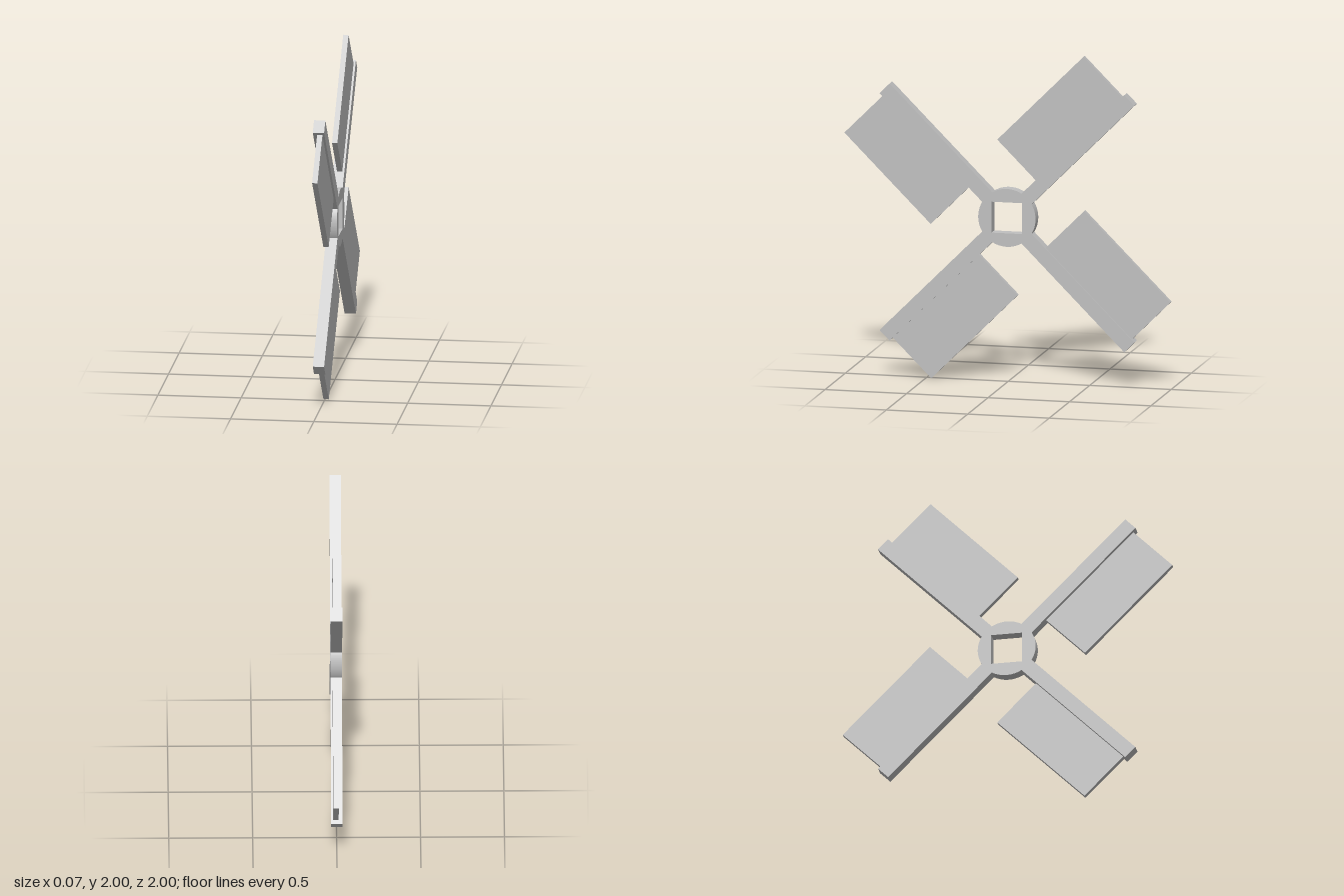
import * as THREE from 'three';

const THICK = 0.068;       // depth of hub and arms along x
const HUB_R = 0.176;
const ARM_W = 0.087;
const ARM_START = 0.168, ARM_END = 1.062;
const BLADE_START = 0.289, BLADE_END = 1.038, BLADE_EDGE = 0.377;

export function createModel() {
  const model = new THREE.Group();
  model.name = 'windmillSails';
  const grey = new THREE.MeshStandardMaterial({ color: 0xc0c0c0 });
  grey.name = 'plain grey';

  const rotor = new THREE.Group();
  rotor.name = 'rotor';
  rotor.position.y = 1.002;
  model.add(rotor);

  // Round hub with a square shaft hole
  const disc = new THREE.Shape().absarc(0, 0, HUB_R, 0, Math.PI * 2, false);
  const h = 0.094;
  disc.holes.push(new THREE.Path([[-h, -h], [-h, h], [h, h], [h, -h]].map(p => new THREE.Vector2(...p))));
  const hubGeo = new THREE.ExtrudeGeometry(disc, { depth: THICK, bevelEnabled: false, curveSegments: 64 });
  hubGeo.translate(0, 0, -THICK / 2).rotateY(Math.PI / 2);
  const hub = new THREE.Mesh(hubGeo, grey);
  hub.name = 'hub';
  rotor.add(hub);

  // Arm along +y with its blade on the +z side
  const armGeo = new THREE.BoxGeometry(THICK, ARM_END - ARM_START, ARM_W);
  armGeo.translate(0, (ARM_START + ARM_END) / 2, 0);
  const bladeWidth = BLADE_EDGE - ARM_W / 2;
  const bladeGeo = new THREE.BoxGeometry(0.032, BLADE_END - BLADE_START, bladeWidth);
  bladeGeo.translate(0.006, (BLADE_START + BLADE_END) / 2, ARM_W / 2 + bladeWidth / 2);

  // Four sails spaced a quarter turn apart
  for (let i = 0; i < 4; i++) {
    const sail = new THREE.Group();
    sail.name = 'sail' + (i + 1);
    const arm = new THREE.Mesh(armGeo, grey);
    arm.name = 'arm';
    const blade = new THREE.Mesh(bladeGeo, grey);
    blade.name = 'blade';
    sail.add(arm, blade);
    sail.rotation.x = Math.PI / 4 + i * Math.PI / 2;
    rotor.add(sail);
  }
  return model;
}
